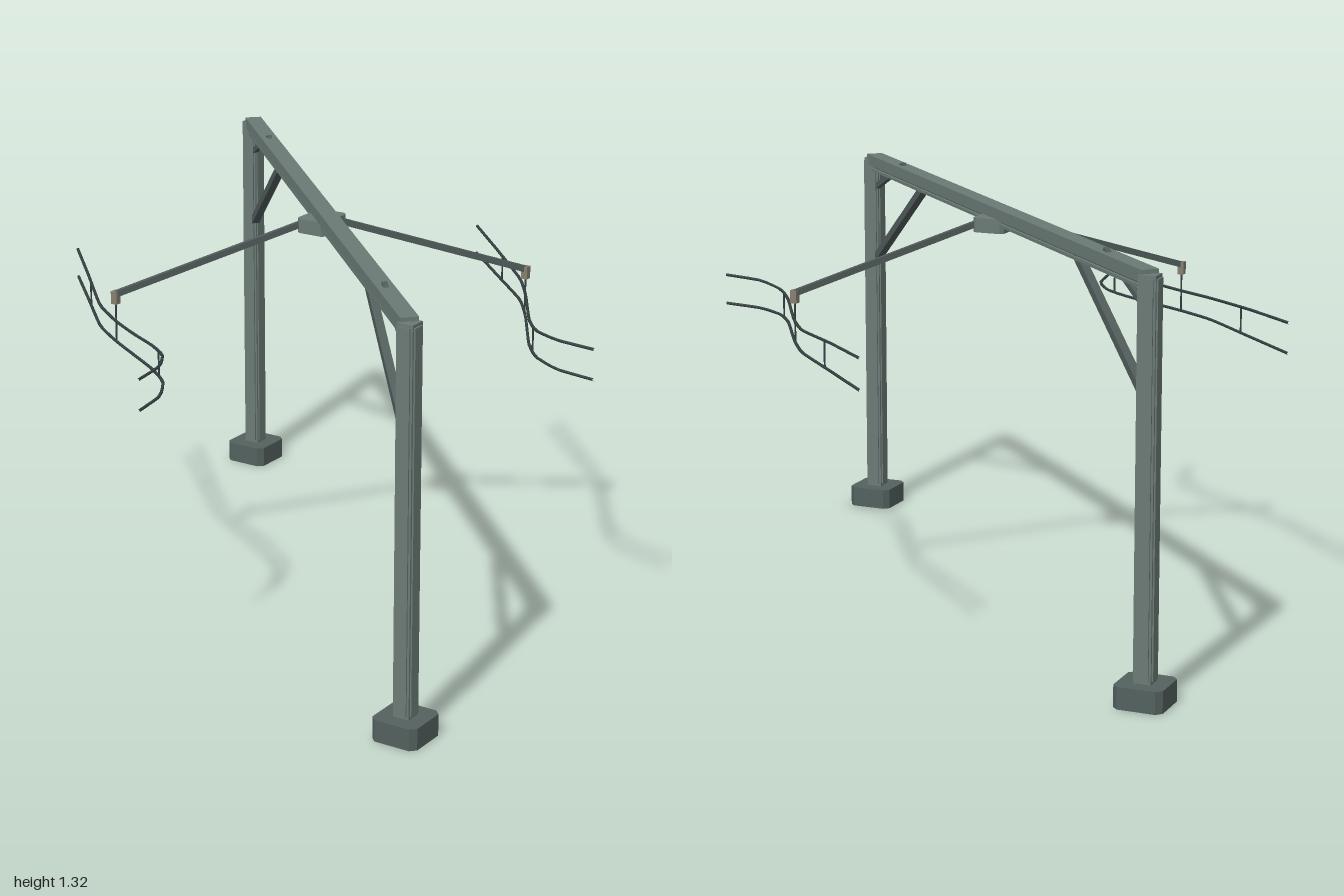
import * as THREE from 'three';

const material = (name, color) => {
  const m = new THREE.MeshStandardMaterial({ color });
  m.name = name;
  return m;
};

export function createModel() {
  const model = new THREE.Group();
  model.name = 'overheadLineGantry';
  const steel = material('grey green steel', 0x6b7a74);
  const footing = material('dark footing', 0x53615e);
  const strut = material('dark strut', 0x4f5b59);
  const cable = material('cable', 0x364042);
  const insulator = material('insulator', 0x85806f);
  const V = (x, y, z) => new THREE.Vector3(x, y, z);

  const add = (name, geometry, mat, x = 0, y = 0, z = 0, parent = model) => {
    const mesh = new THREE.Mesh(geometry, mat);
    mesh.name = name;
    mesh.position.set(x, y, z);
    parent.add(mesh);
    return mesh;
  };

  // Square bar running between two points
  const bar = (name, a, b, w, h, mat) => {
    const mid = a.clone().add(b).multiplyScalar(0.5);
    const mesh = add(name, new THREE.BoxGeometry(w, h, a.distanceTo(b)), mat, mid.x, mid.y, mid.z);
    mesh.lookAt(b);
    return mesh;
  };

  // Upright block with cut corners, standing on y = 0
  const cutBlock = (w, d, h, c) => {
    const x = w / 2, y = d / 2;
    const shape = new THREE.Shape([
      [x - c, -y], [x, -y + c], [x, y - c], [x - c, y],
      [-x + c, y], [-x, y - c], [-x, -y + c], [-x + c, -y],
    ].map(([px, py]) => new THREE.Vector2(px, py)));
    return new THREE.ExtrudeGeometry(shape, { depth: h, bevelEnabled: false }).rotateX(-Math.PI / 2);
  };

  // Posts, footings and braces at both ends of the diagonal
  for (const s of [-1, 1]) {
    const p = s * 0.858;
    add('footing', cutBlock(0.156, 0.156, 0.07, 0.018), footing, p, 0, p);
    const post = new THREE.Group();
    post.name = 'post';
    post.position.set(p, 0, p);
    model.add(post);
    add('postCore', new THREE.BoxGeometry(0.054, 1.23, 0.054), steel, 0, 0.68, 0, post);
    add('postPlateX', new THREE.BoxGeometry(0.064, 1.205, 0.04), steel, 0, 0.6825, 0, post);
    add('postPlateZ', new THREE.BoxGeometry(0.04, 1.205, 0.064), steel, 0, 0.6825, 0, post);
    const at = (d, y) => V(s * d, y, s * d);
    bar('longBrace', at(0.84, 0.93), at(0.48, 1.262), 0.026, 0.026, strut);
    bar('shortBrace', at(0.84, 1.19), at(0.63, 1.311), 0.016, 0.018, strut);
  }

  // Diagonal crossbeam with its lower flange
  const beam = (name, end, y, w, h, mat) =>
    bar(name, V(-end, y, -end), V(end, y, end), w, h, mat);
  beam('crossbeam', 0.857, 1.289, 0.056, 0.038, steel);
  beam('beamWeb', 0.84, 1.265, 0.022, 0.016, strut);
  beam('beamFlange', 0.84, 1.254, 0.042, 0.01, steel);

  // Central hub carrying the two arms
  add('hub', cutBlock(0.108, 0.14, 0.047, 0.012), steel, 0, 1.225, 0);

  // One arm and wire set on each side of the beam, mirrored by swapping x and z
  const plan = [
    [0, 1, -1], [0.2, 0.99, -0.8], [0.4, 0.974, -0.6], [0.5, 0.97, -0.46], [0.58, 0.972, -0.33],
    [0.66, 0.98, -0.2], [0.74, 0.988, -0.1], [0.855, 0.997, -0.028], [1, 1, 0],
  ];
  const droppers = [[0.24, 0.986, -0.76], [0.498, 1.04, -0.46], [0.708, 0.985, -0.138]];
  for (const swap of [false, true]) {
    const P = (x, y, z) => (swap ? V(z, y, x) : V(x, y, z));
    const side = swap ? 'right' : 'left';
    bar(side + 'Arm', P(0.03, 1.258, -0.03), P(0.498, 1.06, -0.46), 0.016, 0.02, strut);
    const e = P(0.498, 1.049, -0.46);
    add(side + 'Insulator', new THREE.BoxGeometry(0.022, 0.042, 0.022), insulator, e.x, e.y, e.z);

    const wire = (name, height) => {
      const points = plan.map(([x, y, z]) => P(x, height ?? y, z));
      const curve = new THREE.CatmullRomCurve3(points, false, 'catmullrom', 0.25);
      add(name, new THREE.TubeGeometry(curve, 32, 0.005, 6), cable);
    };
    wire(side + 'CarrierWire');
    wire(side + 'ContactWire', 0.902);
    for (const [x, top, z] of droppers) {
      const d = P(x, (top + 0.9) / 2, z);
      add(side + 'Dropper', new THREE.CylinderGeometry(0.003, 0.003, top - 0.9, 6), cable, d.x, d.y, d.z);
    }
  }
  return model;
}
